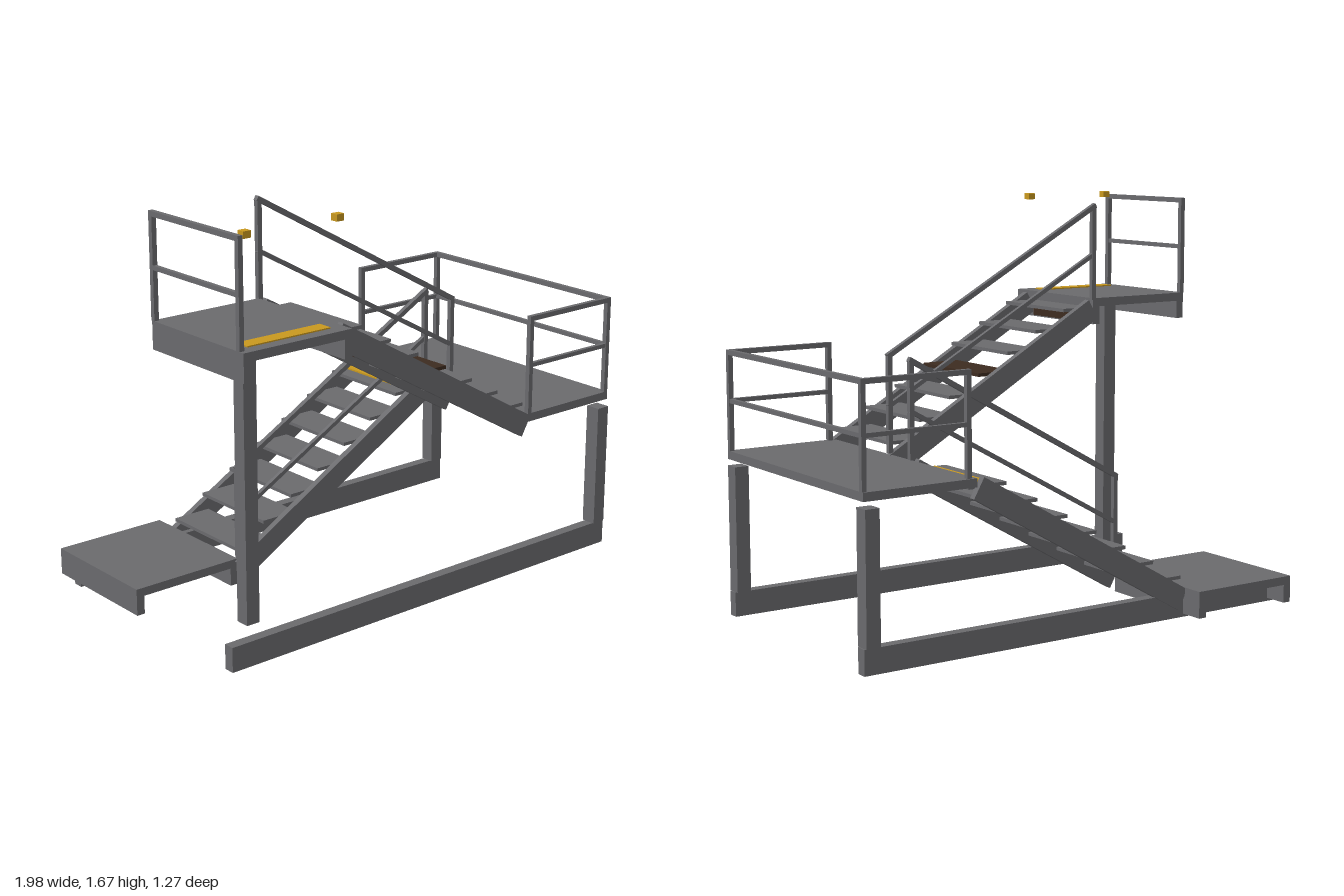
import * as THREE from 'three';

export function createModel() {
  const mat = (name, color) => {
    const m = new THREE.MeshStandardMaterial({ color });
    m.name = name;
    return m;
  };
  const steel = mat('grey steel', 0x6a6a6d);
  const gold = mat('yellow marking', 0xc8981f);
  const rust = mat('dark rust', 0x3d2b20);

  const model = new THREE.Group();
  model.name = 'staircase';
  const group = (name) => {
    const g = new THREE.Group();
    g.name = name;
    model.add(g);
    return g;
  };

  // Box given by its minimum and maximum on each axis
  const box = (parent, name, [x0, x1], [y0, y1], [z0, z1], material = steel) => {
    const m = new THREE.Mesh(new THREE.BoxGeometry(x1 - x0, y1 - y0, z1 - z0), material);
    m.position.set((x0 + x1) / 2, (y0 + y1) / 2, (z0 + z1) / 2);
    m.name = name;
    parent.add(m);
  };

  // Square bar between two points
  const bar = (parent, name, a, b, w = 0.02) => {
    const p = new THREE.Vector3(...a), q = new THREE.Vector3(...b);
    const m = new THREE.Mesh(new THREE.BoxGeometry(w, w, p.distanceTo(q) + w), steel);
    m.position.copy(p).add(q).multiplyScalar(0.5);
    m.lookAt(q);
    m.name = name;
    parent.add(m);
  };

  // Top rail, middle rail and end posts along a line from a to b
  const railing = (parent, a, b, height, mid, ends = [a, b]) => {
    const up = (p, h) => [p[0], p[1] + h, p[2]];
    bar(parent, 'topRail', up(a, height), up(b, height));
    bar(parent, 'middleRail', up(a, mid), up(b, mid), 0.017);
    for (const e of ends) {
      box(parent, 'railPost', [e[0] - 0.01, e[0] + 0.01], [e[1], e[1] + height], [e[2] - 0.01, e[2] + 0.01]);
    }
  };

  // Ground beams and the posts under the middle landing
  const frame = group('supportFrame');
  for (const s of [-1, 1]) {
    const span = (a, b) => (s > 0 ? [a, b] : [-b, -a]);
    box(frame, 'groundBeam', [-0.99, 0.99], [0, 0.1], span(0.49, 0.535));
    box(frame, 'landingPost', [0.925, 0.985], [0.1, 0.615], span(0.48, 0.543));
  }
  box(frame, 'tallPost', [-0.775, -0.715], [0.055, 1.19], [0.28, 0.34]);

  // End landings: a slab with a skirt at both ends
  const endLanding = (name, top, z) => {
    const g = group(name);
    box(g, 'slab', [-0.99, -0.5], [top - 0.035, top], z);
    box(g, 'outerSkirt', [-0.99, -0.955], [top - 0.11, top - 0.035], z);
    box(g, 'innerSkirt', [-0.535, -0.5], [top - 0.11, top - 0.035], z);
    return g;
  };
  endLanding('bottomLanding', 0.123, [-0.635, -0.085]);
  const upper = endLanding('topLanding', 1.245, [0.08, 0.632]);
  railing(upper, [-0.98, 1.245, 0.6], [-0.98, 1.245, 0.085], 0.4, 0.2);
  box(upper, 'edgeStripe', [-0.935, -0.56], [1.245, 1.25], [0.52, 0.582], gold);
  for (const x of [-0.952, -0.538]) {
    box(upper, 'cornerMarker', [x - 0.017, x + 0.017], [1.642, 1.668], [0.58, 0.612], gold);
  }
  box(upper, 'rustyRiser', [-0.5, -0.497], [1.14, 1.19], [0.1, 0.51], rust);

  // Middle landing, railed on its three outer sides
  const middle = group('middleLanding');
  box(middle, 'slab', [0.5, 0.99], [0.643, 0.677], [-0.537, 0.53]);
  for (const z of [-0.52, 0.52]) railing(middle, [0.53, 0.67, z], [0.98, 0.67, z], 0.405, 0.21);
  railing(middle, [0.98, 0.67, -0.52], [0.98, 0.67, 0.52], 0.405, 0.21, []);

  // Flights: dir is the slope along x, side the sign of z
  const flight = (name, centreY, dir, side, rustyTread) => {
    const g = group(name);
    for (const z of [0.08, 0.53]) {
      const m = new THREE.Mesh(new THREE.BoxGeometry(1.138, 0.092, 0.028), steel);
      m.position.set(0.003, centreY, side * z);
      m.rotation.z = dir * 0.521;
      m.name = 'stringer';
      g.add(m);
    }
    for (let i = -3; i <= 3; i++) {
      const lip = i * 0.1425 - dir * 0.0725;
      const x = lip + dir * 0.085;
      const y = centreY + 0.043 + dir * i * 0.08;
      box(g, 'tread', [x - 0.085, x + 0.085], [y - 0.007, y + 0.007],
        side > 0 ? [0.094, 0.516] : [-0.516, -0.094], i === rustyTread ? rust : steel);
    }
    const rise = 0.278;
    railing(g, [-0.497, centreY - dir * rise + 0.045, side * 0.08],
      [0.505, centreY + dir * rise + 0.045, side * 0.08], 0.39, 0.19);
    return g;
  };
  const lower = flight('lowerFlight', 0.357, 1, -1, null);
  box(lower, 'treadStripe', [0.42, 0.475], [0.647, 0.654], [-0.505, -0.12], gold);
  flight('upperFlight', 0.917, -1, 1, 0);

  return model;
}
